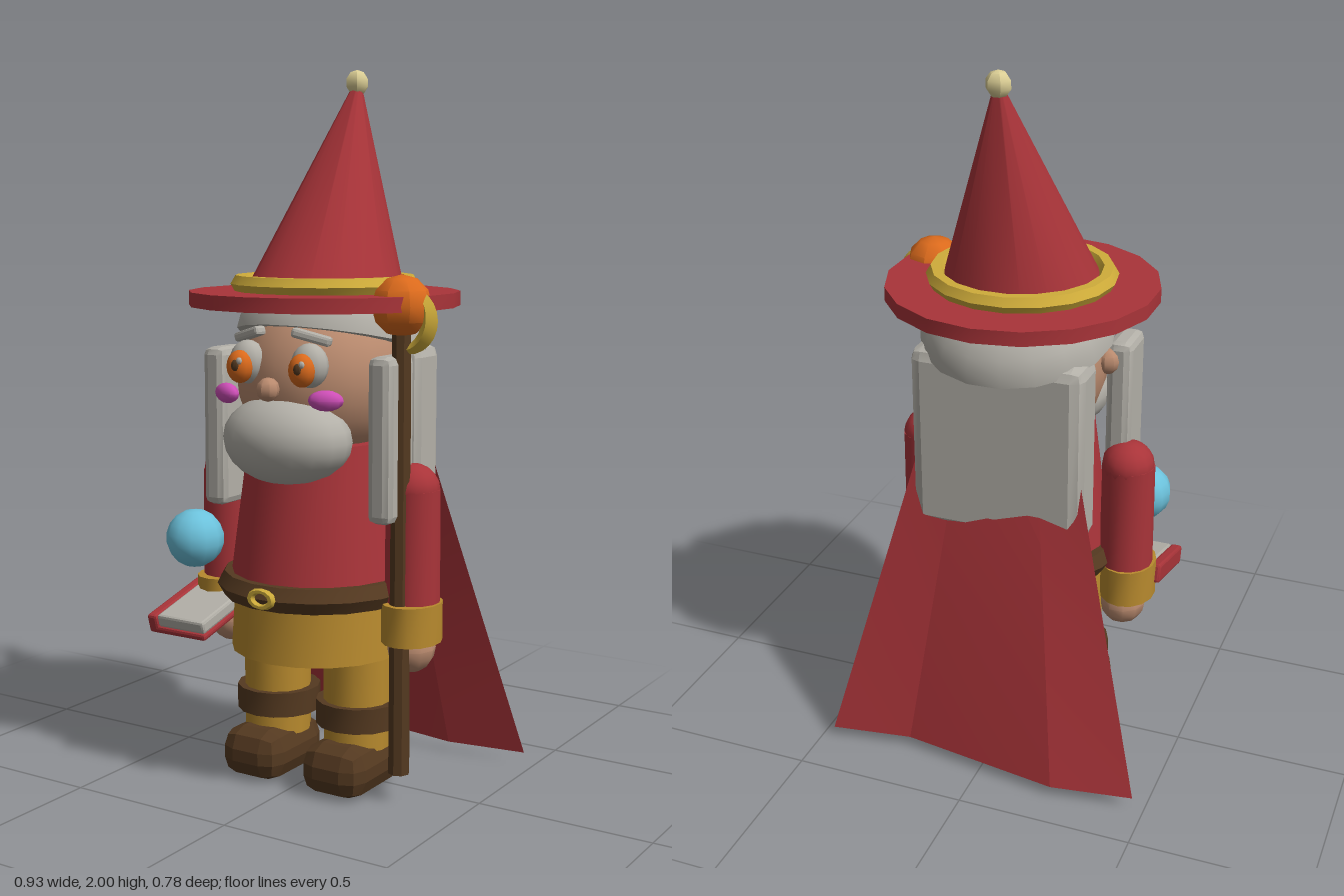
import * as THREE from 'three';
import { toCreasedNormals } from 'three/addons/utils/BufferGeometryUtils.js';
import { RoundedBoxGeometry } from 'three/addons/geometries/RoundedBoxGeometry.js';

const material = (name, color, extra = {}) => {
  const m = new THREE.MeshStandardMaterial({ color, ...extra });
  m.name = name;
  return m;
};

const cylinder = (top, bottom, height, sides = 18) => new THREE.CylinderGeometry(top, bottom, height, sides);
const ball = (w = 16, h = 12) => new THREE.SphereGeometry(1, w, h);
const chamferBox = (w, h, d, r) => new RoundedBoxGeometry(w, h, d, 1, r);

// Applies a rule to every vertex of a geometry
function reshape(geo, rule) {
  const p = geo.attributes.position, v = new THREE.Vector3();
  for (let i = 0; i < p.count; i++) {
    v.fromBufferAttribute(p, i);
    rule(v);
    p.setXYZ(i, v.x, v.y, v.z);
  }
  return geo;
}

export function createModel() {
  const red = material('red cloth', 0xa93439, { side: THREE.DoubleSide });
  const grey = material('grey hair', 0xb3b0a8);
  const mustard = material('mustard cloth', 0xb88a2e);
  const gold = material('gold', 0xcfac3a);
  const brown = material('brown leather', 0x543920);
  const orange = material('orange', 0xdb6a1c);
  const pink = material('pink', 0xcf4fb8);
  const blue = material('blue', 0x6cc2dc);
  const skin = material('skin', 0xb98a6e);
  const cream = material('cream', 0xdacd94);

  const model = new THREE.Group();
  model.name = 'gnomeWizard';

  function part(name, geo, mat, pos, scale = [1, 1, 1], rot = [0, 0, 0], crease = 0.7, parent = model) {
    const mesh = new THREE.Mesh(toCreasedNormals(geo, crease), mat);
    mesh.name = name;
    mesh.position.set(...pos);
    mesh.scale.set(...scale);
    mesh.rotation.set(...rot);
    parent.add(mesh);
    return mesh;
  }

  // Hat: brim, band, backward-leaning cone and tip bead
  part('hatBrim', cylinder(0.378, 0.378, 0.04), red, [0, 1.37, 0.008]);
  const cone = reshape(cylinder(0.012, 0.222, 0.57), v => { v.z -= 0.17 * (v.y / 0.57 + 0.5); });
  part('hatCone', cone, red, [0, 1.675, 0.004]);
  part('hatBand', new THREE.TorusGeometry(0.236, 0.027, 6, 18), gold, [0, 1.41, 0.004], [1, 1, 1], [Math.PI / 2, 0, 0]);
  part('hatBead', ball(6, 5), cream, [0, 1.965, -0.165], [0.036, 0.036, 0.036]);

  // Head and face
  part('head', ball(20, 14), skin, [0, 1.15, 0.02], [0.235, 0.235, 0.24]);
  part('nose', ball(8, 6), skin, [0, 1.14, 0.285], [0.031, 0.033, 0.033]);
  part('beard', ball(18, 12), grey, [0, 0.995, 0.195], [0.192, 0.125, 0.14]);
  const dome = new THREE.SphereGeometry(0.27, 18, 8, 0, Math.PI * 2, 0, Math.PI / 2);
  part('hairCap', dome, grey, [0, 1.25, -0.03], [1, 0.7, 0.98], [-0.22, 0, 0]);
  part('hairCapUnderside', new THREE.CircleGeometry(0.27, 18), grey, [0, 1.25, -0.03], [1, 0.98, 1], [Math.PI / 2 - 0.22, 0, 0]);
  part('backHair', chamferBox(0.5, 0.54, 0.15, 0.035), grey, [0, 0.97, -0.145], [1, 1, 1], [0, 0, 0], 0.3);
  for (const s of [-1, 1]) {
    part('eyeWhite', ball(12, 10), grey, [s * 0.1, 1.205, 0.235], [0.053, 0.06, 0.045]);
    part('iris', ball(12, 10), orange, [s * 0.1, 1.195, 0.272], [0.038, 0.045, 0.034]);
    part('pupil', ball(8, 6), brown, [s * 0.1 + 0.004, 1.2, 0.301], [0.013, 0.016, 0.008]);
    part('eyeGlint', ball(8, 6), grey, [s * 0.1 + 0.016, 1.213, 0.299], [0.009, 0.01, 0.007]);
    part('eyebrow', chamferBox(0.11, 0.026, 0.035, 0.008), grey, [s * 0.1, 1.28, 0.225], [1, 1, 1], [0, s * 0.35, -s * 0.25], 0.3);
    part('cheek', ball(10, 8), pink, [s * 0.16, 1.117, 0.25], [0.048, 0.028, 0.025], [0, s * 0.4, 0]);
    part('ear', ball(8, 6), skin, [s * 0.24, 1.175, 0.035], [0.035, 0.038, 0.035]);
    part('sideLock', chamferBox(0.074, 0.45, 0.14, 0.022), grey, [s * 0.27, 1.005, 0.1], [1, 1, 1], [0, 0, 0], 0.3);
  }

  // Torso, belt and tunic skirt
  part('torso', cylinder(0.195, 0.25, 0.42), red, [0, 0.77, 0.04]);
  part('belt', new THREE.TorusGeometry(0.245, 0.04, 6, 18), brown, [0, 0.573, 0.04], [1, 1, 1], [Math.PI / 2, 0, 0]);
  part('buckle', new THREE.TorusGeometry(0.034, 0.012, 6, 12), gold, [0, 0.576, 0.322], [1, 0.65, 1]);
  part('skirt', cylinder(0.235, 0.246, 0.18), mustard, [0, 0.475, 0.04]);

  for (const s of [-1, 1]) {
    // Legs and boots
    part('leg', cylinder(0.097, 0.095, 0.32, 14), mustard, [s * 0.135, 0.28, 0.045]);
    part('bootCuff', cylinder(0.12, 0.12, 0.07, 14), brown, [s * 0.135, 0.215, 0.04]);
    part('boot', chamferBox(0.196, 0.145, 0.28, 0.055), brown, [s * 0.135, 0.0725, 0.075], [1, 1, 1], [0, 0, 0], 0.2);
    // Arms, cuffs and hands
    part('shoulder', ball(14, 10), red, [s * 0.305, 0.865, 0.04], [0.075, 0.07, 0.076]);
    part('sleeve', cylinder(0.075, 0.077, 0.33, 14), red, [s * 0.307, 0.7, 0.04]);
    part('sleeveCuff', cylinder(0.08, 0.08, 0.11, 14), gold.name && mustard, [s * 0.312, 0.5, 0.05], [1, 1, 1.2]);
    part('hand', ball(10, 8), skin, [s * 0.303, 0.42, 0.035], [0.066, 0.068, 0.07]);
  }

  // Cape: flares toward the hem with one soft wave
  const cape = reshape(new THREE.PlaneGeometry(2, 1, 4, 4), v => {
    const t = 0.5 - v.y;
    const wave = 0.035 * Math.sin(v.x * Math.PI) * t;
    v.set(v.x * (0.23 + 0.235 * t), 0.95 - 0.92 * t, -0.185 - 0.17 * t + wave);
  });
  part('cape', cape, red, [0, 0, 0], [1, 1, 1], [0, 0, 0], 0.1);

  // Staff with orb and a tapered crescent
  part('staff', cylinder(0.026, 0.03, 1.24, 8), brown, [0.302, 0.7, 0.1]);
  part('staffOrb', ball(8, 6), orange, [0.302, 1.363, 0.1], [0.083, 0.083, 0.083]);
  const arc = 3.1, R = 0.085;
  const crescent = reshape(new THREE.TorusGeometry(R, 0.024, 4, 14, arc), v => {
    const a = Math.atan2(v.y, v.x);
    const k = 0.1 + 0.9 * Math.max(0, Math.sin(Math.PI * a / arc));
    const r = R + (Math.hypot(v.x, v.y) - R) * k;
    v.set(Math.cos(a) * r, Math.sin(a) * r, v.z * k);
  });
  part('staffCrescent', crescent, gold, [0.302, 1.33, 0.1], [1, 1, 1], [0, 0, -1.8]);

  // Tilted book with the blue orb above it
  const book = new THREE.Group();
  book.name = 'book';
  book.position.set(-0.307, 0.48, 0.185);
  book.rotation.x = 0.26;
  model.add(book);
  const bookPart = (name, w, h, d, mat, pos) =>
    part(name, chamferBox(w, h, d, 0.008), mat, pos, [1, 1, 1], [0, 0, 0], 0.3, book);
  bookPart('bookCover', 0.195, 0.022, 0.25, red, [0, -0.02, 0]);
  bookPart('bookSpine', 0.034, 0.055, 0.25, red, [-0.081, -0.002, 0]);
  bookPart('bookPages', 0.162, 0.038, 0.24, grey, [0.015, 0.007, 0]);
  part('blueOrb', ball(12, 9), blue, [-0.302, 0.69, 0.215], [0.083, 0.083, 0.083]);

  return model;
}
